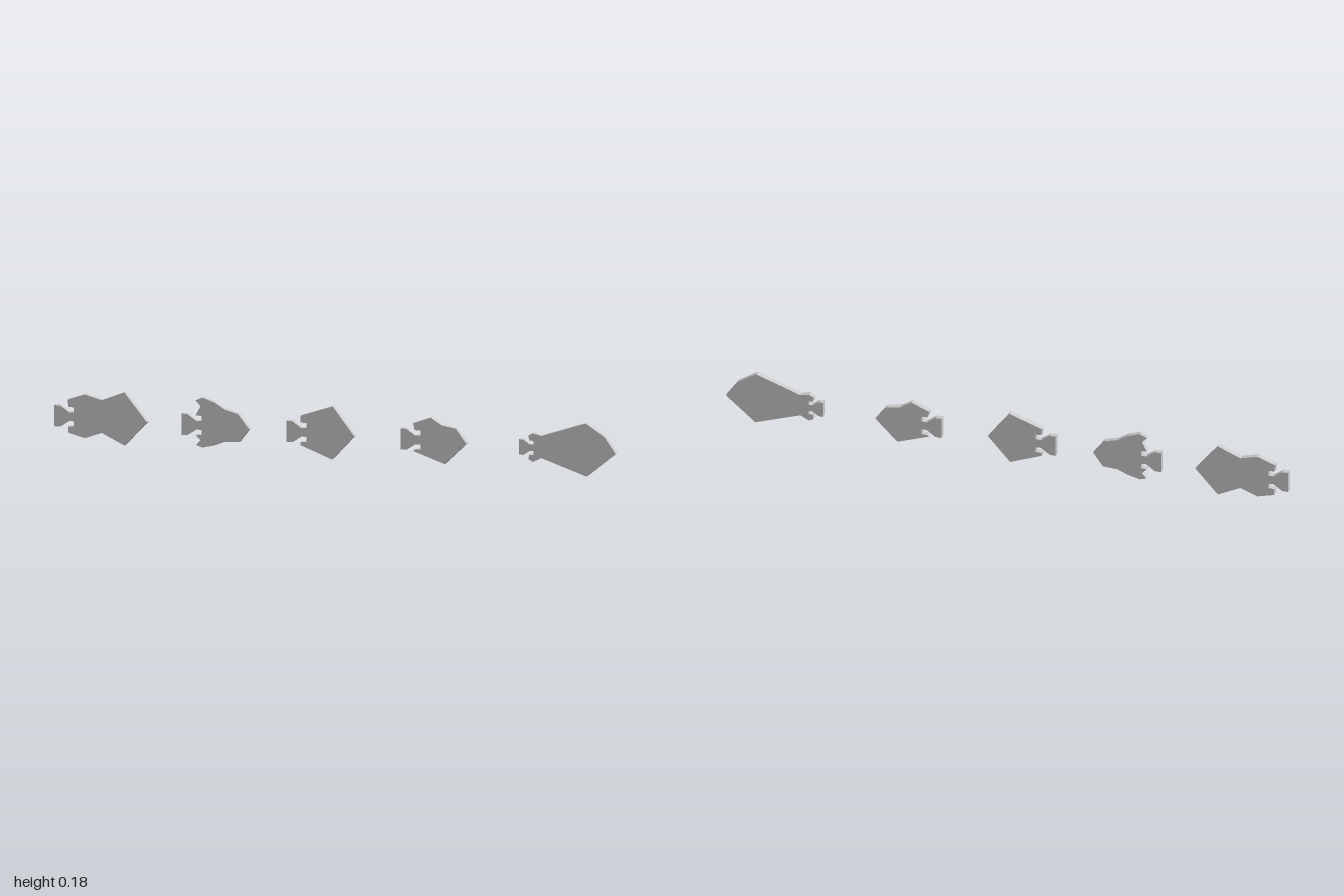
import * as THREE from 'three';

const DEPTH = 0.021;
const MID = 0.093; // height of the shared centre line

// Each head: tail position, tail scale, and body outline from the upper barb
// round the tip to the lower barb (x from the tail edge, y from the centre line).
const HEADS = [
  { name: 'waistedArrowhead', x: -1, s: 1, body: [
    [0.047, 0.056], [0.11, 0.078], [0.17, 0.062], [0.25, 0.094], [0.33, -0.003],
    [0.25, -0.088], [0.17, -0.05], [0.11, -0.072], [0.05, -0.057]] },
  { name: 'broadBarbArrowhead', x: -0.547, s: 1, body: [
    [0.068, 0.065], [0.049, 0.083], [0.075, 0.094], [0.118, 0.08], [0.155, 0.058], [0.203, 0.046],
    [0.241, -0.003], [0.206, -0.05], [0.155, -0.052], [0.118, -0.067], [0.075, -0.077],
    [0.052, -0.07], [0.068, -0.052]] },
  { name: 'pentagonArrowhead', x: -0.173, s: 1, body: [
    [0.05, 0.055], [0.165, 0.094], [0.241, -0.003], [0.162, -0.088], [0.05, -0.046]] },
  { name: 'smallArrowhead', x: 0.233, s: 1, body: [
    [0.045, 0.055], [0.107, 0.078], [0.147, 0.054], [0.198, 0.046], [0.235, -0.003],
    [0.157, -0.078], [0.045, -0.04]] },
  { name: 'longArrowhead', x: 0.655, s: 0.72, body: [
    [0.034, 0.04], [0.05, 0.048], [0.08, 0.041], [0.237, 0.094], [0.305, 0.052], [0.345, -0.003],
    [0.24, -0.088], [0.08, -0.035], [0.05, -0.05], [0.034, -0.042]] },
];

// Fanned tail and hooked notch, from the fan corner to the barb
const TAIL = [[0, 0.035], [0.022, 0.034], [0.053, 0.013], [0.071, 0.014], [0.071, 0.031], [0.05, 0.032]];

function createArrowhead({ name, x, s, body }) {
  const upper = TAIL.map(([u, v]) => [u * s, v * s]);
  const lower = upper.map(([u, v]) => [u, -v - 0.003]).reverse();
  const outline = [...upper, ...body, ...lower].map(([u, v]) => new THREE.Vector2(x + u, MID + v));
  const geometry = new THREE.ExtrudeGeometry(new THREE.Shape(outline), { depth: DEPTH, bevelEnabled: false });
  geometry.translate(0, 0, -DEPTH / 2);
  const mesh = new THREE.Mesh(geometry, new THREE.MeshStandardMaterial({ color: 0xcccccc, flatShading: true }));
  mesh.name = name;
  return mesh;
}

export function createModel() {
  const group = new THREE.Group();
  group.name = 'arrowheadSet';
  HEADS.forEach((head) => group.add(createArrowhead(head)));
  return group;
}
